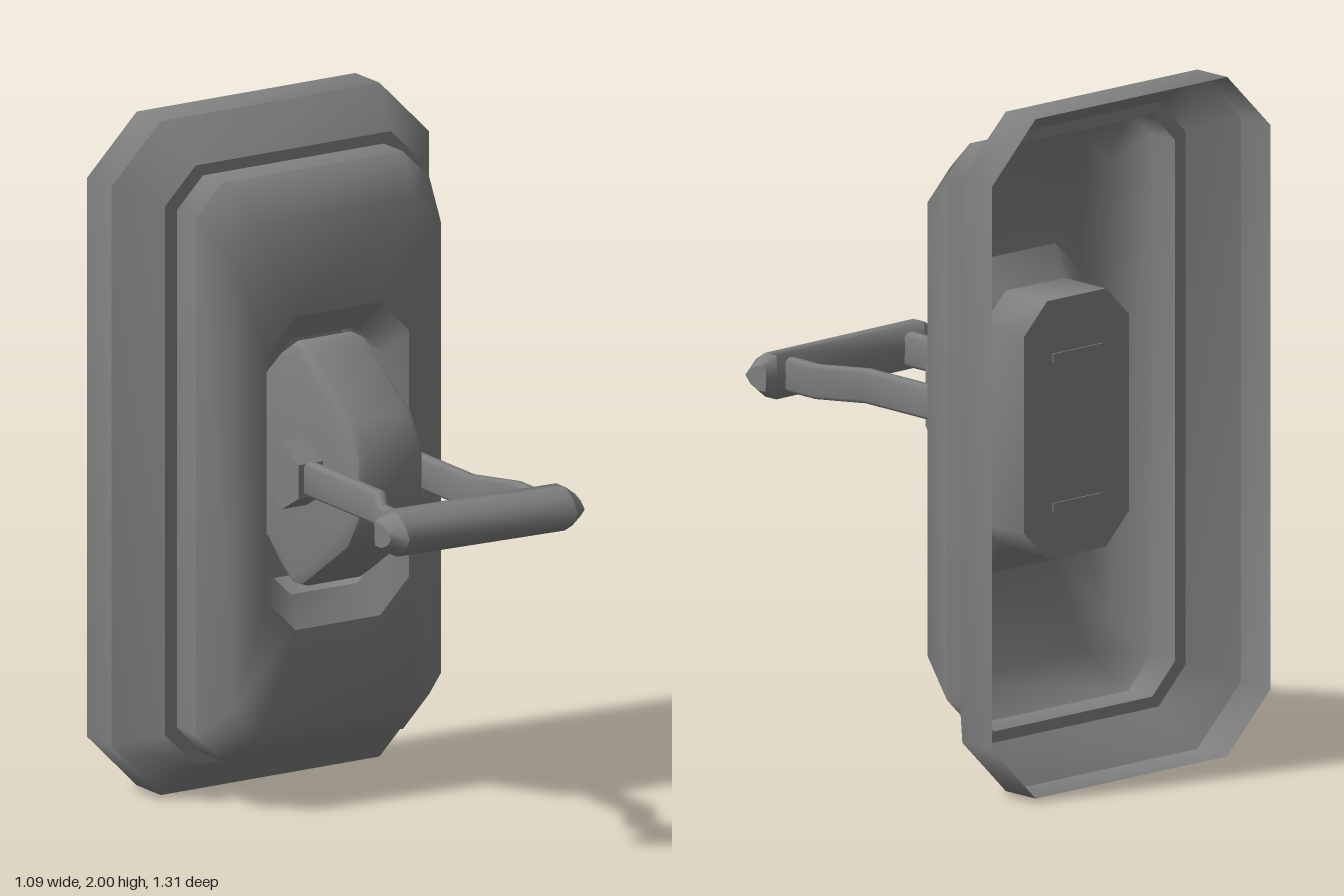
import * as THREE from 'three';
import { mergeGeometries, toCreasedNormals } from 'three/addons/utils/BufferGeometryUtils.js';

const material = new THREE.MeshStandardMaterial({ color: 0x808080, side: THREE.DoubleSide });

// Chamfered rectangle in the xy plane, counter-clockwise seen from +z
function ring(hw, hh, ch, z, cx = 0, cy = 1) {
  return [
    [hw, -hh + ch], [hw, hh - ch], [hw - ch, hh], [-hw + ch, hh],
    [-hw, hh - ch], [-hw, -hh + ch], [-hw + ch, -hh], [hw - ch, -hh],
  ].map(([x, y]) => [cx + x, cy + y, z]);
}

// Every point of a ring moved to its centre, for closing ends
function centre(r) {
  const c = [0, 1, 2].map((k) => r.reduce((s, p) => s + p[k], 0) / r.length);
  return r.map(() => c);
}

// Skin over rings; smooth inside a band, sharp between bands
function loft(...bands) {
  return mergeGeometries(bands.map((rings) => {
    const n = rings[0].length, index = [];
    for (let i = 0; i < rings.length - 1; i++) {
      for (let j = 0; j < n; j++) {
        const a = i * n + j, b = i * n + ((j + 1) % n);
        index.push(a, b, b + n, a, b + n, a + n);
      }
    }
    const g = new THREE.BufferGeometry();
    g.setAttribute('position', new THREE.Float32BufferAttribute(rings.flat(2), 3));
    g.setIndex(index);
    g.computeVertexNormals();
    return g;
  }));
}

function add(group, name, geometry) {
  const mesh = new THREE.Mesh(geometry, material);
  mesh.name = name;
  group.add(mesh);
  return mesh;
}

export function createModel() {
  const model = new THREE.Group();
  model.name = 'pullHandlePlate';

  // Hollow stepped plate, open at the back
  const back = ring(0.545, 1, 0.17, -0.655);
  const rim = ring(0.545, 1, 0.17, -0.53);
  const ledge = ring(0.44, 0.89, 0.105, -0.41);
  const stepBack = ring(0.4, 0.857, 0.09, -0.41);
  const stepFront = ring(0.4, 0.857, 0.09, -0.31);
  const face = ring(0.355, 0.757, 0.09, -0.18);
  const mouth = ring(0.245, 0.465, 0.1, -0.18);
  add(model, 'plate', loft(
    [back, rim], [rim, ledge], [ledge, stepBack], [stepBack, stepFront], [stepFront, face, mouth],
  ));

  // Recess behind the opening
  const throat = ring(0.205, 0.38, 0.09, -0.25);
  const floor = ring(0.205, 0.38, 0.09, -0.425);
  add(model, 'recess', loft([mouth, throat], [throat, floor], [floor, centre(floor)]));

  // Thick rounded hub standing in the recess
  const half = [[-0.415, 0.22], [-0.31, 0.32], [-0.25, 0.36], [-0.2, 0.356], [-0.16, 0.33], [0.04, 0.19], [0.1, 0.09]];
  const outline = [...half, ...half.map(([z, y]) => [z, -y]).reverse()];
  const hub = new THREE.ExtrudeGeometry(
    new THREE.Shape(outline.map(([z, y]) => new THREE.Vector2(z, y))),
    { depth: 0.18, bevelThickness: 0.025, bevelSize: 0.025, bevelOffset: -0.025, bevelSegments: 2 },
  );
  hub.translate(0, 0, -0.09).rotateY(-Math.PI / 2).translate(0, 1.01, 0);
  add(model, 'hub', toCreasedNormals(hub, 0.75));

  // Hub ends showing through the recess floor
  for (const y of [1.21, 0.77]) {
    add(model, 'hubTab', new THREE.BoxGeometry(0.19, 0.025, 0.03)).position.set(0, y, -0.415);
  }

  // Six-sided pivot through the hub, flat side to the front
  const pivot = new THREE.CylinderGeometry(0.1, 0.1, 0.4, 6).rotateY(Math.PI / 6).rotateZ(Math.PI / 2);
  add(model, 'pivot', toCreasedNormals(pivot, 0.9)).position.set(0, 1.005, -0.168);

  // Cranked straps from pivot to grip
  const paths = {
    rightStrap: [[-0.16, -0.08], [-0.166, 0.29], [-0.242, 0.415], [-0.245, 0.56]],
    leftStrap: [[0.155, -0.07], [0.148, 0.29], [0.218, 0.425], [0.215, 0.57]],
  };
  for (const [name, path] of Object.entries(paths)) {
    const rings = path.map(([x, z]) => ring(0.022, 0.05, 0.012, z, x, 1.01));
    const last = rings[rings.length - 1];
    add(model, name, loft([centre(rings[0]), rings[0]], rings, [last, centre(last)]));
  }

  // Grip bar: flat back, pointed front, tapered ends
  const section = [[-0.065, 0], [0, -0.005], [0.065, 0], [0.065, 0.045], [0.04, 0.085], [0, 0.112], [-0.04, 0.085], [-0.065, 0.045]];
  const slice = (x, s, front) => section
    .map(([y, z]) => [x, 1.013 - x * 0.012 + y * s, 0.54 + x * 0.016 + z * front]);
  const a = slice(-0.345, 0.55, 0.75), b = slice(-0.3, 1, 1);
  const c = slice(0.27, 1, 1), d = slice(0.312, 0.55, 0.75);
  add(model, 'gripBar', loft([centre(a), a], [a, b], [b, c], [c, d], [d, centre(d)]));

  return model;
}
